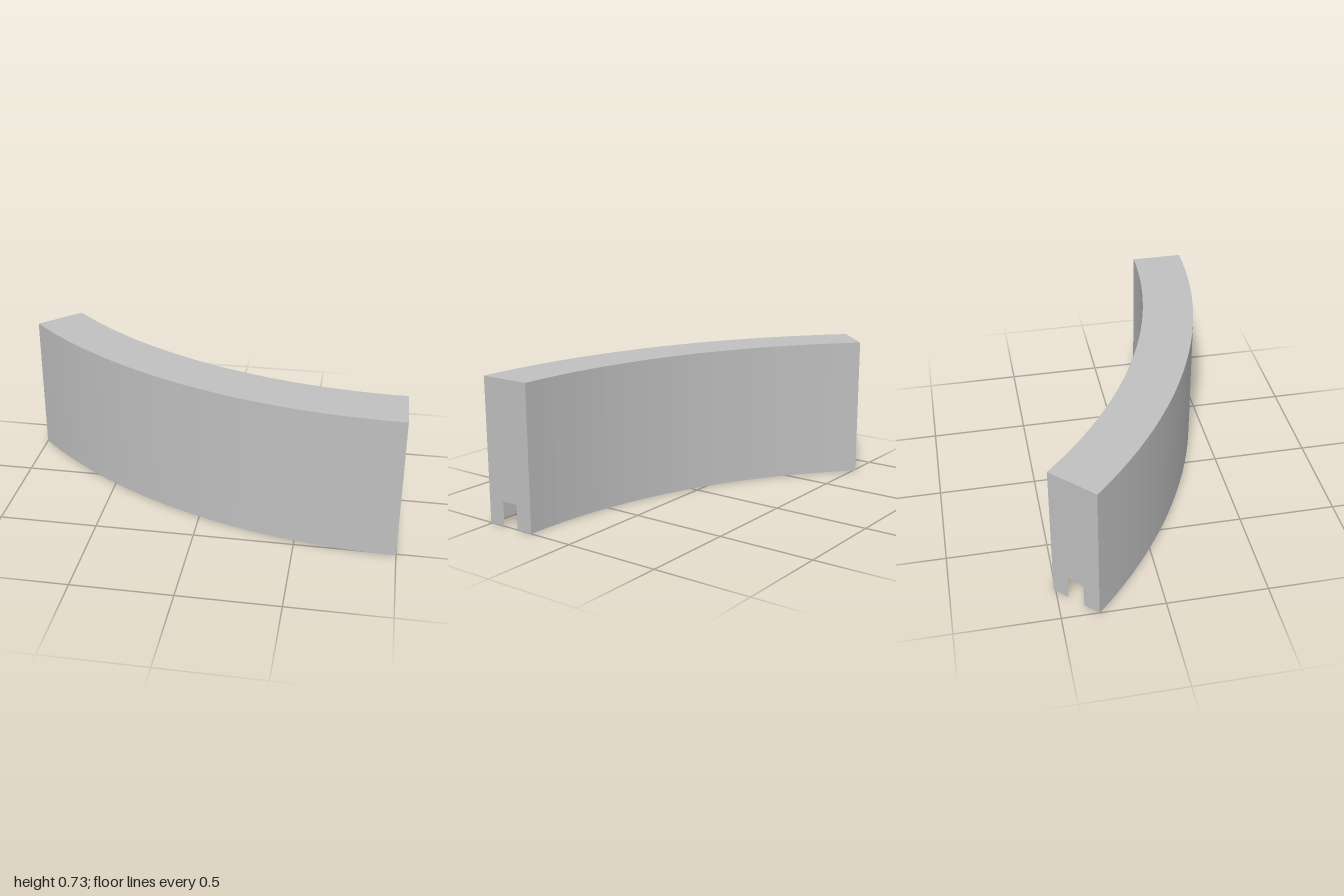
import * as THREE from 'three';

const INNER = 2.56, OUTER = 2.83, HEIGHT = 0.73, SWEEP = Math.PI / 4, SEGMENTS = 24;

// Flat facets; optionally turn the faces the other way round
function faceted(geometry, flip = false) {
  if (flip) {
    const index = geometry.index;
    for (let i = 0; i < index.count; i += 3) {
      const a = index.getX(i);
      index.setX(i, index.getX(i + 2));
      index.setX(i + 2, a);
    }
  }
  const flat = geometry.toNonIndexed();
  flat.computeVertexNormals();
  return flat;
}

export function createModel() {
  const model = new THREE.Group();
  model.name = 'curvedWallSegment';
  const grey = new THREE.MeshStandardMaterial({ color: 0xc0c0c0, side: THREE.DoubleSide });
  grey.name = 'plain grey';

  // Everything is built about the arc's centre
  const arc = new THREE.Group();
  arc.name = 'arc';
  arc.position.set(1, 0, 0.51 - OUTER);
  model.add(arc);
  const add = (name, geometry) => {
    const mesh = new THREE.Mesh(geometry, grey);
    mesh.name = name;
    arc.add(mesh);
  };

  // Curved walls of the hollow shell
  const wall = (r) => new THREE.CylinderGeometry(r, r, HEIGHT, SEGMENTS, 1, true, -SWEEP, SWEEP)
    .translate(0, HEIGHT / 2, 0);
  add('outerWall', faceted(wall(OUTER)));
  add('innerWall', faceted(wall(INNER), true));

  // Top cover; the underside stays open
  add('top', faceted(new THREE.RingGeometry(INNER, OUTER, SEGMENTS, 1, -Math.PI / 2 - SWEEP, SWEEP)
    .rotateX(-Math.PI / 2).translate(0, HEIGHT, 0)));

  // End plates with a square notch at the foot
  const outline = new THREE.Shape([
    [INNER, 0], [2.65, 0], [2.65, 0.125], [2.74, 0.125], [2.74, 0],
    [OUTER, 0], [OUTER, HEIGHT], [INNER, HEIGHT],
  ].map(([x, y]) => new THREE.Vector2(x, y)));
  const end = (angle) => new THREE.ShapeGeometry(outline).rotateY(angle - Math.PI / 2);
  add('leftEnd', faceted(end(0), true));
  add('rightEnd', faceted(end(-SWEEP)));

  return model;
}
